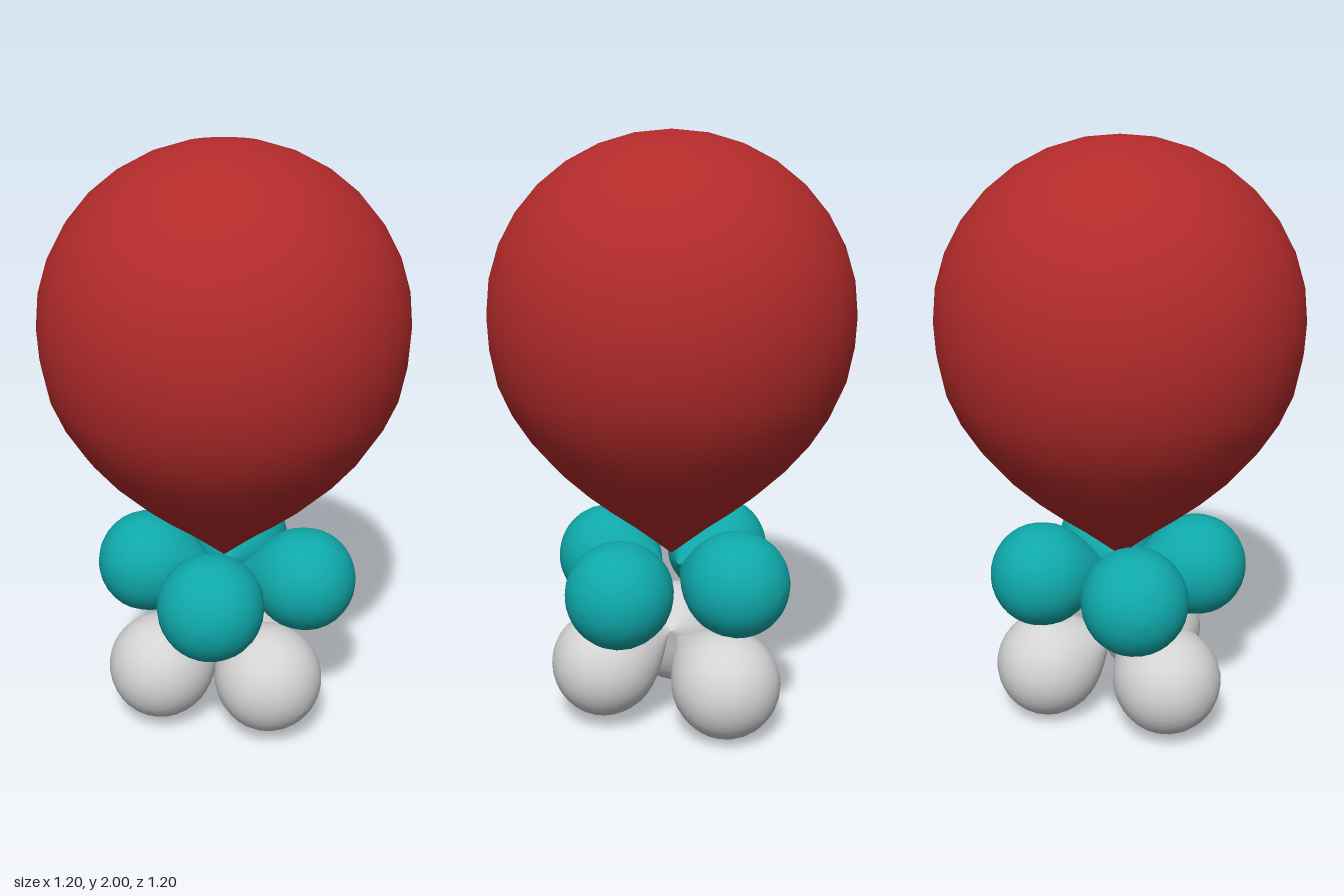
import * as THREE from 'three';

const mat = (name, color) => {
  const m = new THREE.MeshStandardMaterial({ color });
  m.name = name;
  return m;
};

// Height of the widest ring above the tip, and the largest radius
const BELLY = 0.83, RADIUS = 0.6;

// Teardrop with its tip at the origin, growing up the y axis
function teardropGeometry() {
  const profile = [
    [0, 0], [0.06, 0.05], [0.14, 0.115], [0.22, 0.175], [0.3, 0.24], [0.39, 0.325],
    [0.47, 0.42], [0.53, 0.515], [0.573, 0.615], [0.595, 0.73],
  ].map(([x, y]) => new THREE.Vector2(x, y));
  for (let i = 0; i <= 8; i++) {
    const a = (i / 8) * Math.PI / 2;
    profile.push(new THREE.Vector2(i === 8 ? 0 : RADIUS * Math.cos(a), BELLY + 0.58 * Math.sin(a)));
  }
  return new THREE.LatheGeometry(profile, 32);
}

export function createModel() {
  const group = new THREE.Group();
  const red = mat('red', 0xb22a2a);
  const teal = mat('teal', 0x0fa8aa);
  const white = mat('white', 0xd3d3d3);
  const geometry = teardropGeometry();
  const up = new THREE.Vector3(0, 1, 0);

  // Large balloon on top
  const top = new THREE.Mesh(geometry, red);
  top.name = 'largeBalloon';
  top.position.y = 0.59;
  top.rotation.y = 0.065;
  group.add(top);

  // Ring of small balloons whose tips point at a hub on the y axis
  function ring(name, material, radius, hubY, centres) {
    const part = new THREE.Group();
    part.name = name;
    const hub = new THREE.Vector3(0, hubY, 0);
    const s = radius / RADIUS;
    centres.forEach((c, i) => {
      const centre = new THREE.Vector3(...c);
      const dir = centre.clone().sub(hub).normalize();
      const mesh = new THREE.Mesh(geometry, material);
      mesh.name = `${name}Balloon${i + 1}`;
      mesh.scale.setScalar(s);
      mesh.quaternion.setFromUnitVectors(up, dir);
      mesh.position.copy(centre).addScaledVector(dir, -BELLY * s);
      part.add(mesh);
    });
    group.add(part);
  }

  // Four balloons in the middle
  ring('middleRing', teal, 0.176, 0.54, [
    [-0.25, 0.54, -0.12], [-0.11, 0.53, 0.255], [0.26, 0.525, 0.125], [0.12, 0.54, -0.25],
  ]);
  // Three balloons at the base, leaning downwards
  ring('baseRing', white, 0.182, 0.3, [
    [-0.24, 0.2, 0.03], [0.105, 0.21, 0.22], [0.135, 0.182, -0.22],
  ]);
  return group;
}
